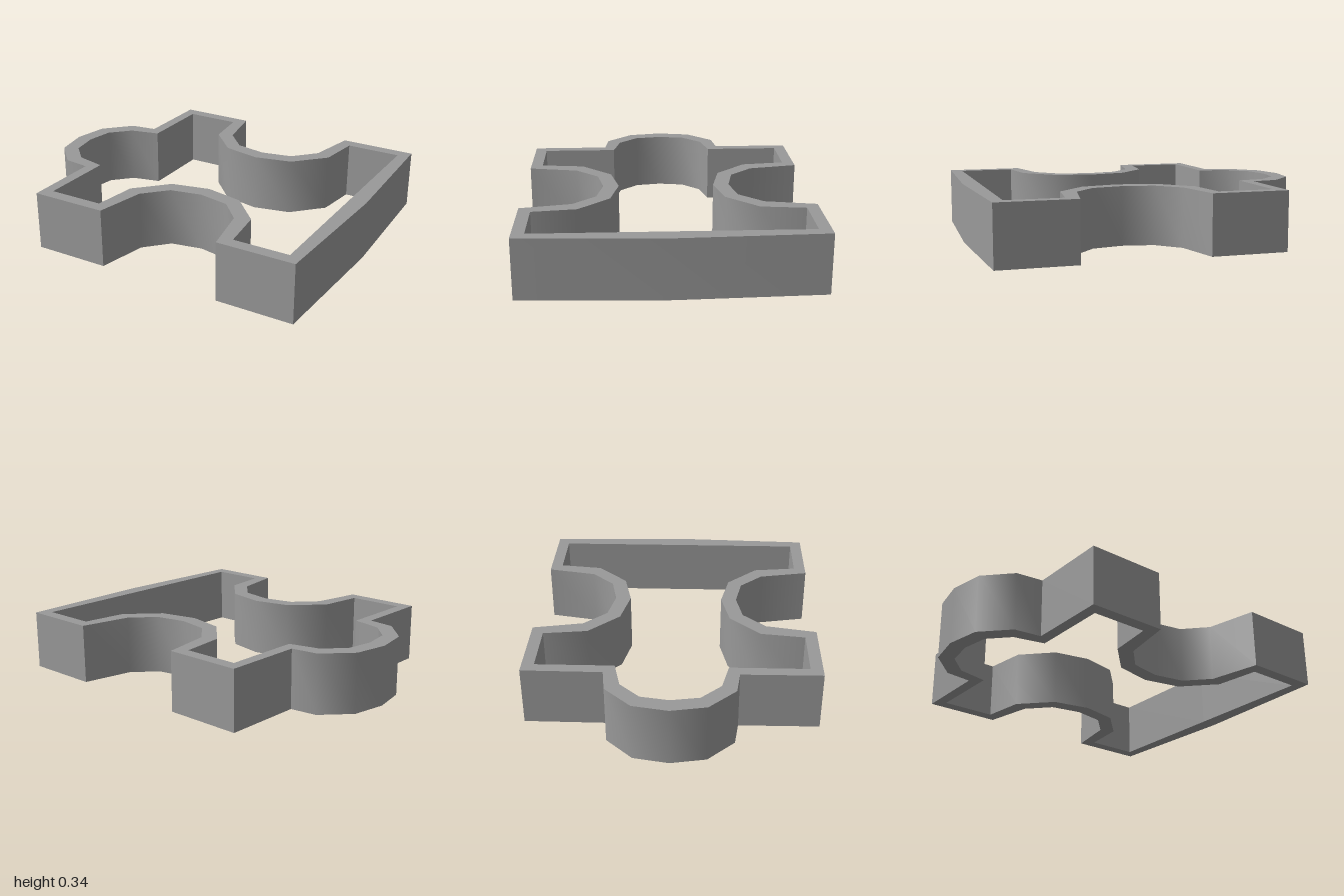
import * as THREE from 'three';
import { toCreasedNormals } from 'three/addons/utils/BufferGeometryUtils.js';

const HEIGHT = 0.343;

// Half outlines [x, z] from the knob tip to the straight side; mirrored across z = 0
const OUTER = [
  [-1, 0], [-0.963, 0.2], [-0.815, 0.352], [-0.66, 0.372], [-0.657, 0.827],
  [-0.208, 0.827], [-0.152, 0.537], [-0.027, 0.405], [0.156, 0.369],
  [0.338, 0.405], [0.462, 0.537], [0.519, 0.827], [0.968, 0.827], [1, 0],
];
const INNER = [
  [-0.907, 0], [-0.88, 0.16], [-0.77, 0.273], [-0.594, 0.313], [-0.594, 0.757],
  [-0.27, 0.757], [-0.238, 0.503], [-0.067, 0.326], [0.156, 0.278],
  [0.378, 0.326], [0.548, 0.503], [0.58, 0.757], [0.903, 0.757], [0.903, 0],
];

function closedOutline(half) {
  const mirrored = half.slice(1, -1).reverse().map(([x, z]) => [x, -z]);
  return [...half, ...mirrored].map(([x, z]) => new THREE.Vector2(x, -z));
}

export function createModel() {
  const group = new THREE.Group();
  group.name = 'puzzlePieceCutter';

  const grey = new THREE.MeshStandardMaterial({ color: 0x999999 });
  grey.name = 'grey';

  // Open-ended wall following the puzzle outline
  const shape = new THREE.Shape(closedOutline(OUTER));
  shape.holes.push(new THREE.Path(closedOutline(INNER)));
  const extruded = new THREE.ExtrudeGeometry(shape, { depth: HEIGHT, bevelEnabled: false });
  extruded.rotateX(-Math.PI / 2);

  // Curved runs are smooth, corners stay sharp
  const wall = new THREE.Mesh(toCreasedNormals(extruded, 0.85), grey);
  wall.name = 'cutterWall';
  group.add(wall);
  return group;
}
